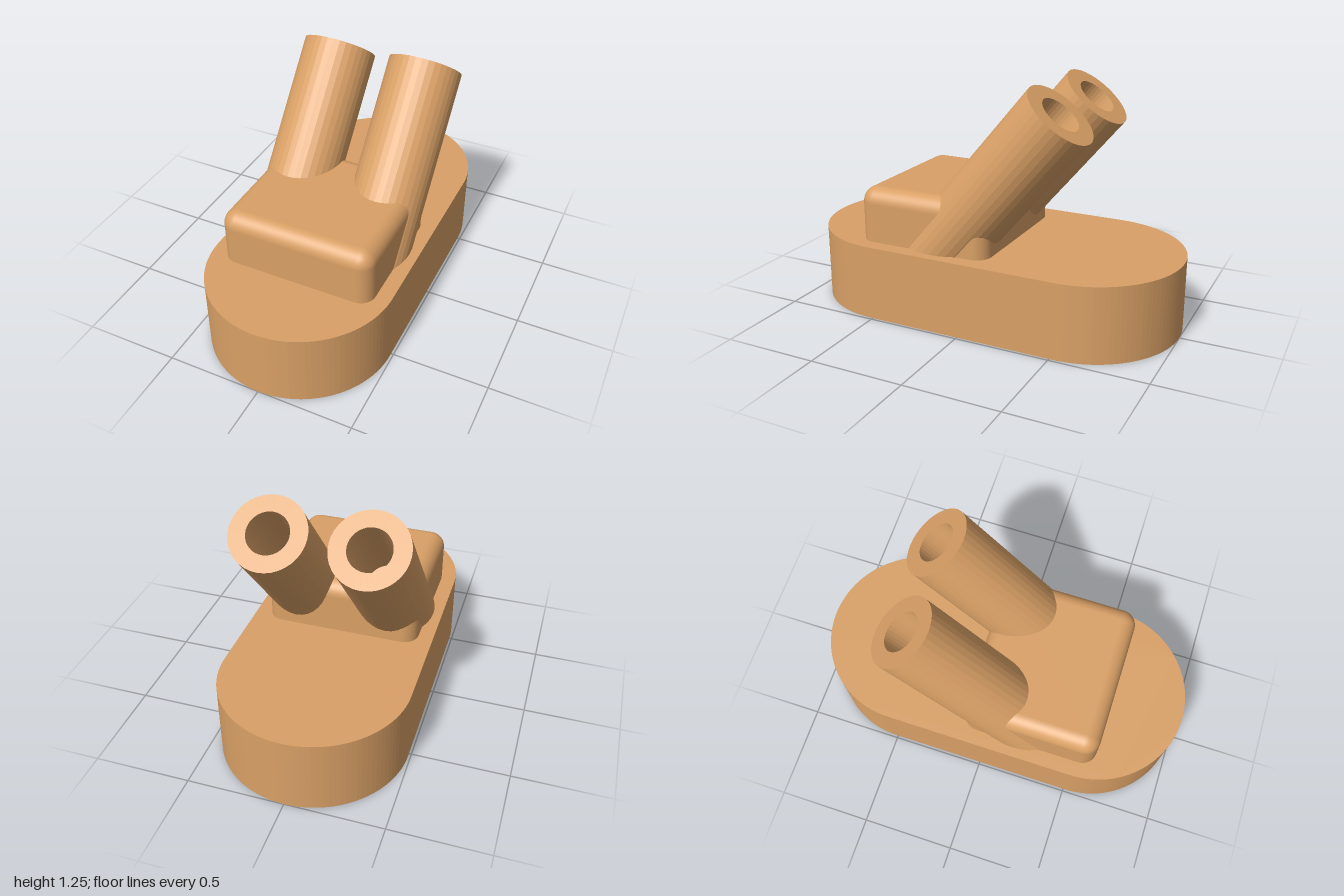
import * as THREE from 'three';
import { RoundedBoxGeometry } from 'three/addons/geometries/RoundedBoxGeometry.js';

const BASE = { r: 0.487, end: 0.513, height: 0.395, holeR: 0.278, holeDepth: 0.27 };
const TUBE = { r: 0.194, bore: 0.108, boreDepth: 0.55, x: 0.245, y: 1.13, z: -0.437, tilt: THREE.MathUtils.degToRad(40) };

// Rounded-end slab lying flat, from y0 to y1, optionally pierced by the two round sockets
function slabGeometry(y0, y1, pierced) {
  const { r, end, holeR } = BASE;
  const shape = new THREE.Shape();
  shape.absarc(0, end, r, 0, Math.PI, false);
  shape.absarc(0, -end, r, Math.PI, Math.PI * 2, false);
  shape.closePath();
  if (pierced) {
    for (const s of [-1, 1]) {
      const hole = new THREE.Path();
      hole.absarc(0, s * end, holeR, 0, Math.PI * 2, true);
      shape.holes.push(hole);
    }
  }
  const g = new THREE.ExtrudeGeometry(shape, { depth: y1 - y0, bevelEnabled: false, curveSegments: 28 });
  return g.rotateX(-Math.PI / 2).translate(0, y0, 0);
}

// Bored tube leaning backwards, its foot trimmed level just inside the base
function tubeGeometry() {
  const { r, bore, boreDepth, y, z, tilt } = TUBE;
  const profile = [[r, -1], [r, 0], [bore, 0], [bore, -boreDepth], [0, -boreDepth]]
    .map(([px, py]) => new THREE.Vector2(px, py));
  let g = new THREE.LatheGeometry(profile, 36);
  const p = g.attributes.position;
  for (let i = 0; i < p.count; i++) {
    if (p.getY(i) < -0.99) {
      p.setY(i, (0.38 - y - Math.sin(tilt) * p.getZ(i)) / Math.cos(tilt));
    }
  }
  g = g.toNonIndexed();
  g.computeVertexNormals();
  return g.rotateX(-tilt).translate(0, y, z);
}

export function createModel() {
  const model = new THREE.Group();
  model.name = 'twinTubeHolder';
  const tan = new THREE.MeshStandardMaterial({ color: 0xd9a066 });
  tan.name = 'tan';

  const add = (parent, name, geometry) => {
    const mesh = new THREE.Mesh(geometry, tan);
    mesh.name = name;
    parent.add(mesh);
    return mesh;
  };

  // Base: a pierced lower layer and a solid top that closes the sockets
  const base = new THREE.Group();
  base.name = 'base';
  add(base, 'socketLayer', slabGeometry(0, BASE.holeDepth, true));
  add(base, 'topLayer', slabGeometry(BASE.holeDepth, BASE.height, false));
  model.add(base);

  // Rounded block, its lower edge sunk into the base
  const block = add(model, 'block', new RoundedBoxGeometry(0.816, 0.38, 0.73, 6, 0.08));
  block.position.set(0, 0.49, 0.248);

  // Pair of leaning tubes
  const tube = tubeGeometry();
  for (const [name, s] of [['leftTube', 1], ['rightTube', -1]]) {
    add(model, name, tube).position.x = s * TUBE.x;
  }
  return model;
}
